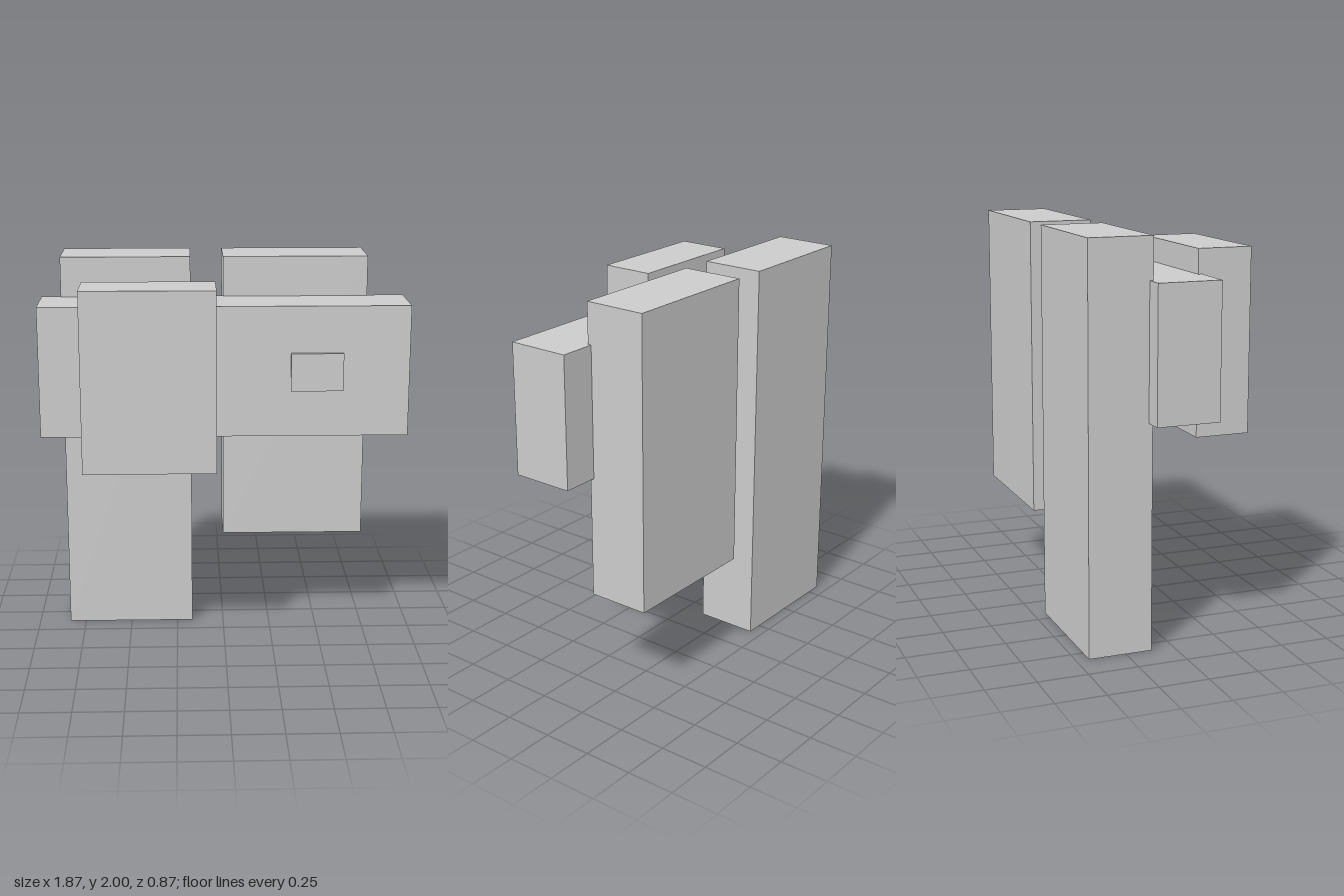
import * as THREE from 'three';

const material = new THREE.MeshStandardMaterial({ color: 0xcccccc, flatShading: true });

// Box given by its [min, max] extent along each axis
function block(name, [x0, x1], [y0, y1], [z0, z1]) {
  const mesh = new THREE.Mesh(new THREE.BoxGeometry(x1 - x0, y1 - y0, z1 - z0), material);
  mesh.position.set((x0 + x1) / 2, (y0 + y1) / 2, (z0 + z1) / 2);
  mesh.name = name;
  return mesh;
}

export function createModel() {
  const model = new THREE.Group();
  model.name = 'blockAssembly';
  const rearDepth = [-0.437, -0.117];

  model.add(
    // Two upright slabs at the back, level at the top
    block('tallRearSlab', [-0.835, -0.168], [0, 2], rearDepth),
    block('shortRearSlab', [0, 0.746], [0.503, 2], rearDepth),
    // Crossbeam joining the slabs
    block('crossbeam', [-0.934, 0.934], [1.127, 1.795], [-0.136, 0.183]),
    // Block and small plate on the beam's front face
    block('frontBlock', [-0.71, -0.046], [1.005, 1.917], [0.162, 0.437]),
    block('frontPlate', [0.334, 0.599], [1.364, 1.557], [0.17, 0.203]),
  );
  return model;
}
